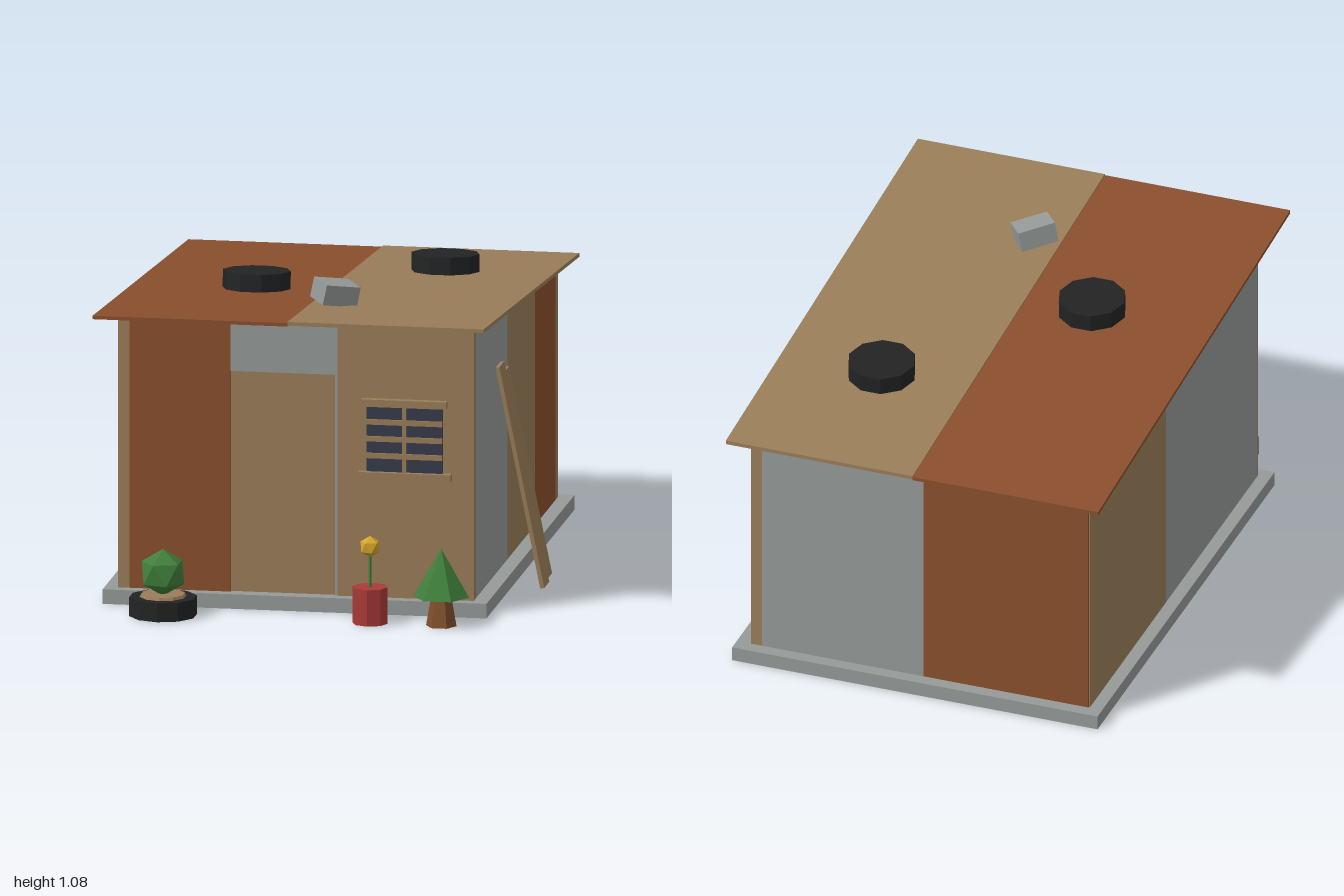
import * as THREE from 'three';

const mat = (name, color) => {
  const m = new THREE.MeshStandardMaterial({ color });
  m.name = name;
  return m;
};

export function createModel() {
  const model = new THREE.Group();
  model.name = 'shack';
  const tan = mat('tan wood', 0x9a7d59);
  const rust = mat('rust sheet', 0x8a4f2d);
  const grey = mat('grey sheet', 0x959a98);
  const black = mat('black rubber', 0x222324);
  const glass = mat('dark glass', 0x363c4c);
  const green = mat('leaf green', 0x3f7f3b);
  const red = mat('red pot', 0xa83a38);
  const gold = mat('gold flower', 0xd6a52c);
  const brown = mat('trunk brown', 0x80502c);

  const add = (name, geo, material, x = 0, y = 0, z = 0, parent = model) => {
    const flat = geo.index ? geo.toNonIndexed() : geo;
    flat.computeVertexNormals();
    const m = new THREE.Mesh(flat, material);
    m.name = name;
    m.position.set(x, y, z);
    parent.add(m);
    return m;
  };

  // Roof heights along z; the roof falls towards the back
  const SLOPE = 0.0775, TILT = -Math.atan(SLOPE);
  const roofTop = z => 1.02 - SLOPE * (0.86 - z);
  const roofUnder = z => roofTop(z) - 0.013;

  // Box whose bottom and top heights may be numbers or functions of z
  const block = (name, material, x0, x1, y0, y1, z0, z1) => {
    const geo = new THREE.BoxGeometry(x1 - x0, 1, z1 - z0);
    geo.translate((x0 + x1) / 2, 0, (z0 + z1) / 2);
    const p = geo.attributes.position;
    for (let i = 0; i < p.count; i++) {
      const h = p.getY(i) > 0 ? y1 : y0;
      p.setY(i, typeof h === 'function' ? h(p.getZ(i)) : h);
    }
    return add(name, geo, material);
  };

  // Base and two-sheet roof
  block('baseSlab', grey, -0.71, 0.6, 0, 0.05, -0.965, 0.75);
  block('roofLeftSheet', rust, -0.725, -0.06, z => roofUnder(z) - 0.003, z => roofTop(z) - 0.004, -1, 0.86);
  block('roofRightSheet', tan, -0.06, 0.61, roofUnder, roofTop, -1, 0.86);

  // Wall panels: name, material, x range, z range
  [
    ['frontRustPanel', rust, -0.625, -0.28, 0.67, 0.71],
    ['frontTanPanel', tan, 0.085, 0.55, 0.67, 0.71],
    ['frontCornerStrip', tan, -0.665, -0.625, 0.705, 0.71],
    ['rightGreyPanel', grey, 0.51, 0.55, 0.055, 0.67],
    ['rightTanPanel', tan, 0.51, 0.55, -0.475, 0.055],
    ['rightRustPanel', rust, 0.51, 0.55, -0.88, -0.475],
    ['backCornerPost', tan, 0.51, 0.55, -0.92, -0.88],
    ['backGreyPanel', grey, -0.07, 0.51, -0.92, -0.88],
    ['backRustPanel', rust, -0.66, -0.07, -0.92, -0.88],
    ['leftTanPanel', tan, -0.665, -0.625, -0.915, -0.18],
    ['leftGreyPanel', grey, -0.665, -0.625, -0.18, 0.705],
  ].forEach(([n, m, x0, x1, z0, z1]) => block(n, m, x0, x1, 0.05, roofUnder, z0, z1));

  // Doorway
  block('doorLintel', grey, -0.28, 0.085, 0.81, roofUnder, 0.67, 0.708);
  block('doorJamb', grey, 0.075, 0.085, 0.05, 0.81, 0.67, 0.706);
  block('door', tan, -0.28, 0.075, 0.05, 0.81, 0.67, 0.698);

  // Window
  block('windowGlass', glass, 0.185, 0.445, 0.485, 0.71, 0.71, 0.719);
  block('windowHead', tan, 0.17, 0.46, 0.71, 0.735, 0.71, 0.735);
  block('windowSill', tan, 0.16, 0.475, 0.46, 0.485, 0.71, 0.737);
  block('windowMullion', tan, 0.308, 0.322, 0.485, 0.71, 0.71, 0.724);
  for (const y of [0.54, 0.598, 0.656])
    block('windowBar', tan, 0.185, 0.445, y - 0.009, y + 0.009, 0.71, 0.726);

  // Planks leaning on the right-hand wall
  [[0.636, 0.388, 0.256, 0.77, 0.098, 0], [0.626, 0.365, 0.117, 0.725, 0.08, -0.018]]
    .forEach(([x, y, z, length, width, twist]) => {
      const plank = add('leaningPlank', new THREE.BoxGeometry(0.014, length, width), tan, x, y, z);
      plank.rotation.set(-twist, 0, 0.2);
    });

  // Old tyres on the roof
  const tyreGeo = () => new THREE.CylinderGeometry(0.116, 0.116, 0.06, 10).rotateY(Math.PI / 2);
  for (const [x, z] of [[-0.3, 0.09], [0.245, -0.475]])
    add('roofTyre', tyreGeo(), black, x, roofTop(z) + 0.03, z).rotation.x = TILT;

  // Cinder block holding the roof down
  const weight = add('roofBlock', new THREE.BoxGeometry(0.13, 0.07, 0.098), grey, 0.025, 1.028, 0.41);
  weight.rotation.set(0, 0.64, -0.2, 'ZYX');

  // Bush in a tyre planter
  const bush = new THREE.Group();
  bush.name = 'bushPlanter';
  bush.position.set(-0.48, 0, 0.885);
  model.add(bush);
  add('planterTyre', new THREE.CylinderGeometry(0.115, 0.115, 0.065, 10), black, 0, 0.0325, 0, bush);
  add('planterSoil', new THREE.CylinderGeometry(0.075, 0.08, 0.012, 10), tan, 0, 0.069, 0, bush);
  add('bushLeaves', new THREE.IcosahedronGeometry(0.081).rotateZ(0.5536), green, 0, 0.147, 0, bush);

  // Flower in a red pot
  const flower = new THREE.Group();
  flower.name = 'flowerPot';
  flower.position.set(0.227, 0, 0.885);
  model.add(flower);
  add('pot', new THREE.CylinderGeometry(0.06, 0.06, 0.125, 8), red, 0, 0.0625, 0, flower);
  add('flowerStem', new THREE.CylinderGeometry(0.006, 0.006, 0.13, 5), green, 0, 0.185, 0, flower);
  add('flowerHead', new THREE.IcosahedronGeometry(0.037).rotateZ(0.5536), gold, 0, 0.263, 0, flower);

  // Small tree
  const tree = new THREE.Group();
  tree.name = 'smallTree';
  tree.position.set(0.47, 0, 0.885);
  model.add(tree);
  add('treeTrunk', new THREE.CylinderGeometry(0.033, 0.052, 0.11, 6).rotateY(Math.PI / 6), brown, 0, 0.055, 0, tree);
  add('treeLeaves', new THREE.ConeGeometry(0.095, 0.165, 6).rotateY(Math.PI / 6), green, 0, 0.1825, 0, tree);

  return model;
}
